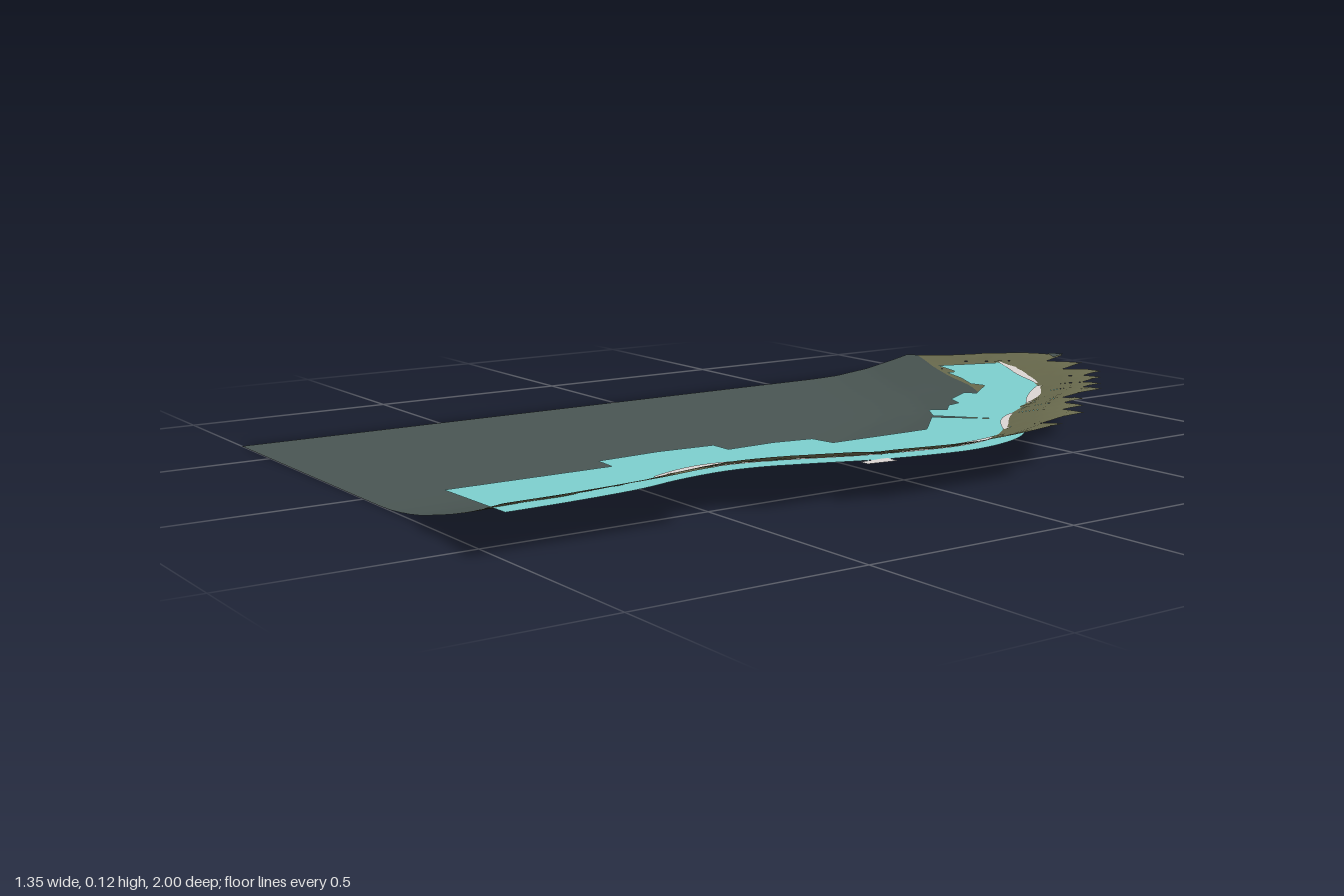
import * as THREE from 'three';

const WATER_Y = 0.08, WEST = -0.675;

// Shoreline seen from above, as [x, z]
const shore = new THREE.CatmullRomCurve3([
  [-0.85, -1.24], [-0.6, -1.13], [-0.36, -1], [-0.215, -0.93], [-0.09, -0.88], [0, -0.83], [0.1, -0.765],
  [0.2, -0.68], [0.3, -0.54], [0.4, -0.39], [0.5, -0.285], [0.56, -0.2], [0.59, -0.08], [0.58, 0.03],
  [0.55, 0.16], [0.51, 0.27], [0.475, 0.38], [0.465, 0.48], [0.48, 0.6], [0.505, 0.7], [0.52, 0.85],
  [0.525, 1], [0.525, 1.15],
].map(([x, z]) => new THREE.Vector3(x, 0, z)));
const samples = shore.getPoints(160).map((p, i) => {
  const t = shore.getTangent(i / 160);
  return { x: p.x, z: p.z, nx: t.z, nz: -t.x };   // normal points inland
});

// Signed distance from the shoreline, positive inland
function inland(x, z) {
  let best = Infinity, near;
  for (const s of samples) {
    const q = (x - s.x) ** 2 + (z - s.z) ** 2;
    if (q < best) { best = q; near = s; }
  }
  return Math.sqrt(best) * Math.sign((x - near.x) * near.nx + (z - near.z) * near.nz);
}

// Beach profile: [distance inland, height]
const profile = [[-0.45, 0], [-0.38, 0.002], [-0.28, 0.013], [-0.19, 0.031], [-0.13, 0.044],
  [-0.07, 0.059], [0, 0.08], [0.08, 0.105], [0.13, 0.115], [0.25, 0.12]];
function height(x, z) {
  const d = inland(x, z);
  if (d <= profile[0][0]) return 0;
  for (let i = 1; i < profile.length; i++) {
    const [d0, h0] = profile[i - 1], [d1, h1] = profile[i];
    if (d <= d1) return h0 + (h1 - h0) * (d - d0) / (d1 - d0);
  }
  return 0.12;
}

// Where the sand begins on the row at z
function sandStart(z) {
  let lo = WEST, hi = 0.7;
  for (let i = 0; i < 22; i++) {
    const mid = (lo + hi) / 2;
    if (inland(mid, z) > -0.13) hi = mid; else lo = mid;
  }
  return hi;
}

// Stepped outer edge of the land: [z from, z to, x at from, x at to]
const bands = [
  [-1, -0.94, -0.04, -0.04], [-0.94, -0.875, 0.09, 0.09], [-0.875, -0.81, 0.22, 0.22],
  [-0.81, -0.74, 0.285, 0.285], [-0.74, -0.68, 0.35, 0.35], [-0.68, -0.55, 0.41, 0.41],
  [-0.55, -0.485, 0.48, 0.48], [-0.485, -0.42, 0.545, 0.545], [-0.42, -0.29, 0.61, 0.61],
  [-0.29, 0.1, 0.675, 0.675], [0.1, 0.16, 0.675, 0.61], [0.16, 0.35, 0.61, 0.61],
  [0.35, 0.42, 0.61, 0.545], [0.42, 0.55, 0.545, 0.545], [0.55, 1, 0.61, 0.61],
];

// Ground sheet made of rows running between two x limits
function groundGeometry(limits, columns) {
  const pos = [], nor = [], index = [], e = 0.02, n = new THREE.Vector3();
  for (const [z0, z1, e0, e1] of bands) {
    const rows = Math.ceil((z1 - z0) / 0.025), base = pos.length / 3, w = columns + 1;
    for (let i = 0; i <= rows; i++) {
      const f = i / rows, z = z0 + (z1 - z0) * f;
      const [xa, xb] = limits(z, e0 + (e1 - e0) * f);
      for (let j = 0; j <= columns; j++) {
        const x = xa + (xb - xa) * j / columns;
        pos.push(x, height(x, z), z);
        n.set(height(x - e, z) - height(x + e, z), 2 * e, height(x, z - e) - height(x, z + e)).normalize();
        nor.push(n.x, n.y, n.z);
        if (i < rows && j < columns) {
          const a = base + i * w + j;
          index.push(a, a + w, a + 1, a + 1, a + w, a + w + 1);
        }
      }
    }
  }
  const g = new THREE.BufferGeometry();
  g.setAttribute('position', new THREE.Float32BufferAttribute(pos, 3));
  g.setAttribute('normal', new THREE.Float32BufferAttribute(nor, 3));
  g.setIndex(index);
  return g;
}

// Level sheet from an outline of [x, z] points
function flatSheet(points, y) {
  const shape = new THREE.Shape(points.map(([x, z]) => new THREE.Vector2(x, -z)));
  return new THREE.ShapeGeometry(shape).rotateX(-Math.PI / 2).translate(0, y, 0);
}

// Shoreline points between two z values, moved inland by an offset
function shoreLine(zFrom, zTo, offset) {
  const run = samples.filter(s => s.z >= zFrom && s.z <= zTo);
  return run.map((s, i) => {
    const o = offset(i / (run.length - 1));
    return [s.x + s.nx * o, s.z + s.nz * o];
  });
}

export function createModel() {
  const model = new THREE.Group();
  model.name = 'shoreTerrain';
  const material = (name, color) => {
    const m = new THREE.MeshStandardMaterial({ color, side: THREE.DoubleSide });
    m.name = name;
    return m;
  };
  const slate = material('slate', 0x4a5653), sand = material('sand', 0x6e6f51);
  const aqua = material('aqua', 0x7dd0ce), white = material('foamWhite', 0xdcd6d4);
  const add = (name, geometry, mat) => {
    const mesh = new THREE.Mesh(geometry, mat);
    mesh.name = name;
    model.add(mesh);
  };

  // Ground
  add('seabed', groundGeometry(z => [WEST, sandStart(z)], 24), slate);
  add('beach', groundGeometry((z, edge) => [sandStart(z), edge], 12), sand);

  // Dark rock patch on the back corner
  const patch = flatSheet([[-0.1, -1], [-0.04, -0.965], [-0.04, -1]], 0);
  const p = patch.attributes.position;
  for (let i = 0; i < p.count; i++) p.setY(i, height(p.getX(i), p.getZ(i)) + 0.003);
  patch.computeVertexNormals();
  add('cornerRock', patch, slate);

  // Shallow water: ragged seaward edge, landward edge tucked under the beach
  const ragged = [[0.345, 0.99], [0.345, 0.625], [0.285, 0.62], [0.275, 0.47], [0.285, 0.34], [0.34, 0.34],
    [0.335, 0.22], [0.35, 0.13], [0.41, 0.12], [0.41, -0.14], [0.33, -0.22], [0.305, -0.245], [0.405, -0.35],
    [0.295, -0.258], [0.23, -0.3], [0.25, -0.34], [0.21, -0.38], [0.2, -0.42], [0.15, -0.44], [0.1, -0.525],
    [0.12, -0.55], [0.05, -0.64], [0.01, -0.63], [-0.07, -0.67], [-0.16, -0.7], [-0.16, -0.73], [-0.265, -0.76]];
  add('shallowWater', flatSheet([...shoreLine(-0.935, 0.995, () => 0.05), ...ragged], WATER_Y), aqua);

  // Foam streaks along the waterline
  const streaks = [[-0.93, -0.76, 0.022], [-0.75, -0.54, 0.02], [-0.42, -0.27, 0.012],
    [-0.2, 0.08, 0.012], [0.1, 0.32, 0.006], [0.34, 0.62, 0.022]];
  for (const [z0, z1, width] of streaks) {
    const outer = shoreLine(z0, z1, () => 0.012);
    const inner = shoreLine(z0, z1, t => -width * Math.sin(Math.PI * t)).reverse();
    add('foam', flatSheet([...outer, ...inner], WATER_Y + 0.002), white);
  }
  add('foamTip', flatSheet([[0.6, 0.13], [0.635, 0.13], [0.625, 0.2], [0.6, 0.2]], WATER_Y), white);

  return model;
}
